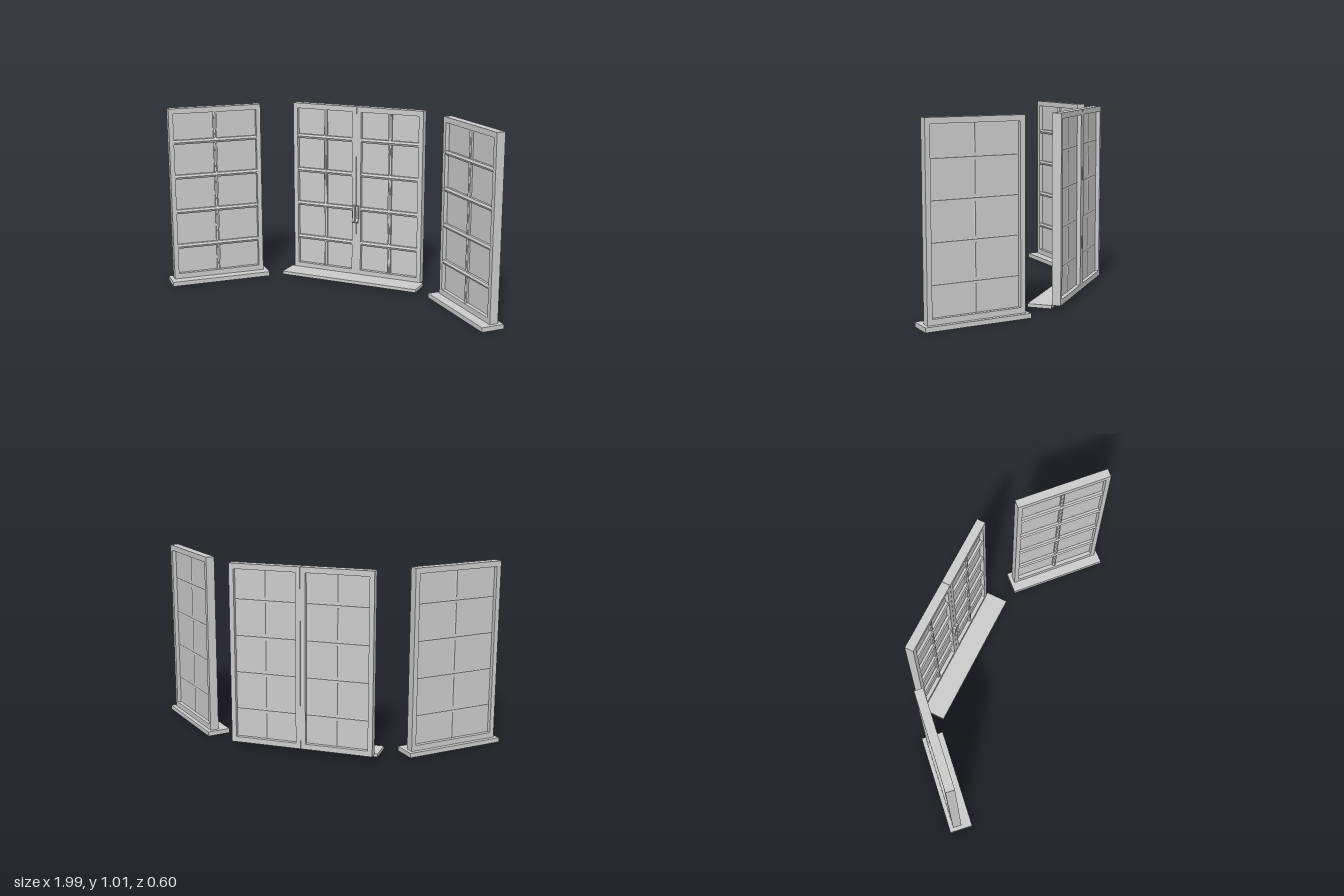
import * as THREE from 'three';

const material = new THREE.MeshStandardMaterial({ color: 0xcccccc, flatShading: true });
const BOTTOM = 0.025, TOP = 1.015, DEPTH = 0.048;
const STILE = 0.026, RAIL = 0.03;
const BAR_HEIGHTS = [0.215, 0.42, 0.622, 0.822];

function add(group, name, geometry, x = 0, y = 0, z = 0) {
  const mesh = new THREE.Mesh(geometry, material);
  mesh.name = name;
  mesh.position.set(x, y, z);
  group.add(mesh);
  return mesh;
}

// One glazed leaf: frame, pane and glazing bars, facing +z
function makeLeaf(name, width) {
  const leaf = new THREE.Group();
  leaf.name = name;
  const w = width / 2, iw = w - STILE, y0 = BOTTOM + RAIL, y1 = TOP - RAIL;

  const outline = new THREE.Shape([[-w, BOTTOM], [w, BOTTOM], [w, TOP], [-w, TOP]]
    .map(p => new THREE.Vector2(...p)));
  outline.holes.push(new THREE.Path([[-iw, y0], [-iw, y1], [iw, y1], [iw, y0]]
    .map(p => new THREE.Vector2(...p))));
  add(leaf, 'frame', new THREE.ExtrudeGeometry(outline, { depth: DEPTH, bevelEnabled: false }), 0, 0, -DEPTH / 2);
  add(leaf, 'pane', new THREE.BoxGeometry(iw * 2, y1 - y0, 0.004), 0, (y0 + y1) / 2, 0);

  // Horizontal bars lie in front of the pane
  for (const y of BAR_HEIGHTS) {
    const bar = add(leaf, 'horizontalBar', new THREE.CylinderGeometry(0.014, 0.014, iw * 2, 6), 0, y, 0.01);
    bar.rotation.z = Math.PI / 2;
  }
  // Vertical bar pieces stop at each horizontal and show slightly behind the pane
  const stops = [y0 - 0.017, ...BAR_HEIGHTS, y1 + 0.017];
  for (let i = 0; i < stops.length - 1; i++) {
    const a = stops[i] + 0.017, b = stops[i + 1] - 0.017;
    add(leaf, 'verticalBar', new THREE.CylinderGeometry(0.012, 0.012, b - a, 6), 0, (a + b) / 2, 0.006);
  }
  // Front filler joins the vertical pieces across the horizontals
  add(leaf, 'verticalBarFront', new THREE.BoxGeometry(0.012, y1 - y0, 0.014), 0, (y0 + y1) / 2, 0.009);
  return leaf;
}

// Bent lever handle, profile drawn as depth against height
function addHandle(group, x) {
  const profile = new THREE.Shape([[0.022, 0.443], [0.022, 0.375], [0.032, 0.36], [0.04, 0.342],
    [0.047, 0.348], [0.038, 0.368], [0.039, 0.405], [0.042, 0.443]]
    .map(p => new THREE.Vector2(...p)));
  const width = 0.014;
  const geometry = new THREE.ExtrudeGeometry(profile, { depth: width, bevelEnabled: false });
  geometry.translate(0, 0, -width / 2).rotateY(-Math.PI / 2);
  add(group, 'handle', geometry, x, 0, 0);
}

export function createModel() {
  const model = new THREE.Group();
  model.name = 'windowSet';

  // Middle double window, turned very slightly
  const middle = new THREE.Group();
  middle.name = 'doubleWindow';
  middle.position.set(-0.002, 0, -0.273);
  middle.rotation.y = -0.016;
  for (const side of [-1, 1]) {
    const leaf = makeLeaf(side > 0 ? 'leftLeaf' : 'rightLeaf', 0.397);
    leaf.position.x = side * 0.1995;
    middle.add(leaf);
    addHandle(middle, side * 0.011);
  }
  add(middle, 'sill', new THREE.BoxGeometry(0.832, 0.018, 0.13), 0, 0.02, 0.086);
  model.add(middle);

  // Angled single windows on both sides
  for (const side of [-1, 1]) {
    const single = new THREE.Group();
    single.name = side > 0 ? 'leftWindow' : 'rightWindow';
    single.position.set(side * 0.744, 0, 0.053);
    single.rotation.y = -side * 0.76;
    const leaf = makeLeaf('leaf', 0.53);
    leaf.position.z = -0.017;
    single.add(leaf);
    add(single, 'sill', new THREE.BoxGeometry(0.573, 0.025, 0.128), 0, 0.0125, 0);
    model.add(single);
  }
  return model;
}
